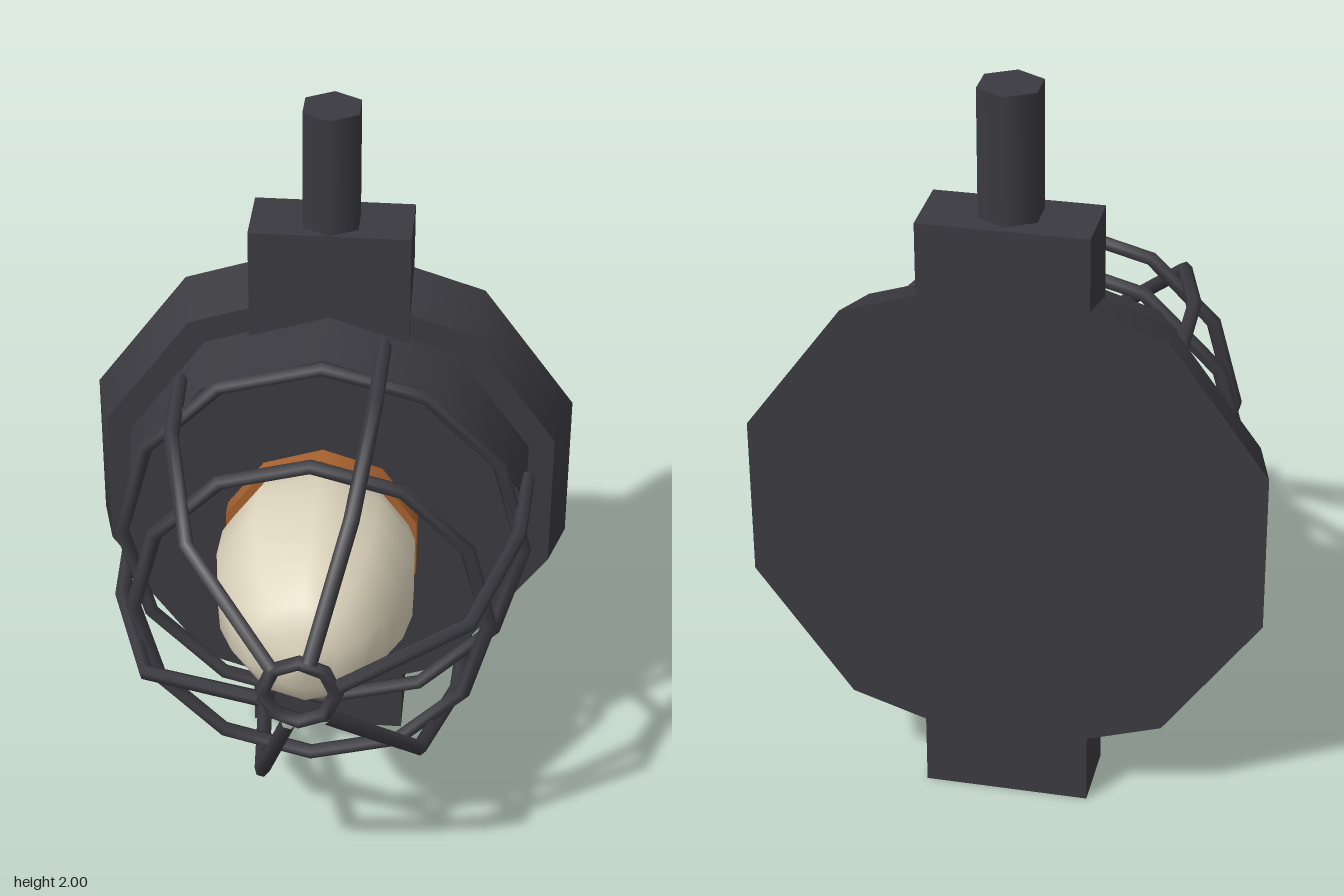
import * as THREE from 'three';

const CY = 0.83; // height of the lamp axis

// straight-segment path, so that tubes get mitred corners
class Polyline extends THREE.Curve {
  constructor(points) {
    super();
    this.points = points;
  }
  getPoint(t, target = new THREE.Vector3()) {
    const n = this.points.length - 1;
    const i = Math.min(Math.floor(t * n), n - 1);
    return target.lerpVectors(this.points[i], this.points[i + 1], t * n - i);
  }
  getPointAt(t, target) { return this.getPoint(t, target); }
  getTangentAt(t, target) { return this.getTangent(t, target); }
}

export function createModel() {
  const model = new THREE.Group();
  model.name = 'cagedLamp';
  const iron = new THREE.MeshStandardMaterial({ color: 0x3b3a40 });
  iron.name = 'dark iron';
  const glass = new THREE.MeshStandardMaterial({ color: 0xddd4bc });
  glass.name = 'cream glass';
  const copper = new THREE.MeshStandardMaterial({ color: 0xa8622f });
  copper.name = 'copper';

  // everything round lies along z inside this group
  const lamp = new THREE.Group();
  lamp.name = 'lamp';
  lamp.position.y = CY;
  model.add(lamp);

  const add = (parent, name, geometry, material) => {
    const mesh = new THREE.Mesh(geometry, material);
    mesh.name = name;
    parent.add(mesh);
    return mesh;
  };
  const disc = (name, rFront, rBack, zFront, zBack, material) => {
    const g = new THREE.CylinderGeometry(rFront, rBack, zFront - zBack, 10);
    g.rotateX(Math.PI / 2).translate(0, 0, (zFront + zBack) / 2);
    return add(lamp, name, g, material);
  };

  // wall mount
  disc('backPlate', 0.657, 0.705, -0.38, -0.555, iron);
  disc('housing', 0.56, 0.583, -0.175, -0.38, iron);
  disc('socketCollar', 0.275, 0.275, -0.12, -0.175, copper);
  const bracket = add(model, 'bracket', new THREE.BoxGeometry(0.436, 1.66, 0.195), iron);
  bracket.position.set(0, 0.83, -0.4575);
  const conduit = add(model, 'conduit', new THREE.CylinderGeometry(0.086, 0.086, 0.36, 6), iron);
  conduit.position.set(0, 1.82, -0.447);

  // bulb
  const profile = [
    [0.22, -0.17], [0.252, -0.12], [0.275, -0.04], [0.278, 0.07], [0.258, 0.18],
    [0.212, 0.29], [0.16, 0.365], [0.09, 0.41], [0, 0.43],
  ].map(([r, z]) => new THREE.Vector2(r, z));
  add(lamp, 'bulb', new THREE.LatheGeometry(profile, 10).rotateX(Math.PI / 2), glass);

  // cage
  const cage = new THREE.Group();
  cage.name = 'cage';
  lamp.add(cage);
  const barPath = new Polyline([
    new THREE.Vector3(0.573, 0, -0.285), new THREE.Vector3(0.558, 0, -0.02),
    new THREE.Vector3(0.437, 0, 0.35), new THREE.Vector3(0.1, 0, 0.535),
  ]);
  const barGeometry = new THREE.TubeGeometry(barPath, 3, 0.021, 6);
  const capGeometry = new THREE.CircleGeometry(0.021, 6).rotateY(Math.PI).translate(0.573, 0, -0.285);
  for (let i = 0; i < 6; i++) {
    const bar = new THREE.Group();
    bar.name = 'cageBar';
    bar.rotation.z = THREE.MathUtils.degToRad(14.3) + i * Math.PI / 3;
    add(bar, 'barTube', barGeometry, iron);
    add(bar, 'barEnd', capGeometry, iron);
    cage.add(bar);
  }
  for (const [name, radius, z, sides] of [
    ['rearRing', 0.555, -0.14, 12], ['middleRing', 0.474, 0.2, 12], ['frontRing', 0.095, 0.53, 8],
  ]) {
    const ring = add(cage, name, new THREE.TorusGeometry(radius, 0.021, 6, sides), iron);
    ring.position.z = z;
  }
  return model;
}
